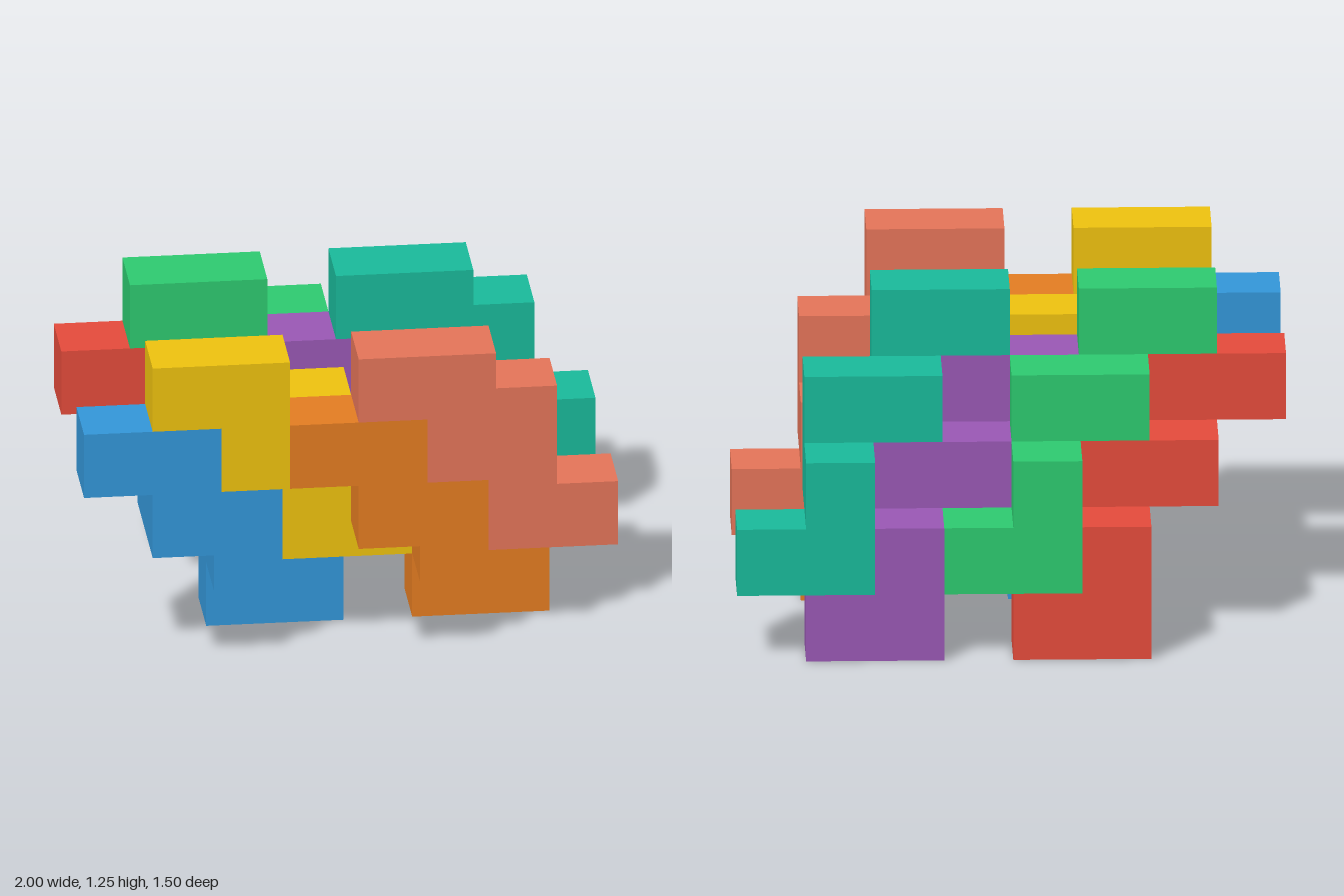
import * as THREE from 'three';

const U = 0.25; // edge of one cube cell

// L-shaped outlines on the cell grid, counter-clockwise
const HOOK = [[0, 0], [1, 0], [1, -1], [2, -1], [2, 1], [0, 1]]; // two cells on top, one below right
const FOOT = [[0, -1], [2, -1], [2, 0], [1, 0], [1, 1], [0, 1]]; // upright with a foot to the right

function lPiece(outline, color, name) {
  const shape = new THREE.Shape(outline.map(([x, y]) => new THREE.Vector2(x * U, y * U)));
  const geometry = new THREE.ExtrudeGeometry(shape, { depth: U, bevelEnabled: false });
  const mesh = new THREE.Mesh(geometry, new THREE.MeshStandardMaterial({ color }));
  mesh.name = name;
  return mesh;
}

// Each stack: three layers of four interlocking L pieces, stepping down and to +x toward its end
const STACKS = [
  { name: 'frontStack', z: 2, dir: -1, colors: { blue: 0x3498db, yellow: 0xf1c40f, orange: 0xe67e22, coral: 0xe7765a } },
  { name: 'backStack', z: -1, dir: -1, colors: { red: 0xe74c3c, green: 0x2ecc71, purple: 0x9b59b6, teal: 0x1abc9c } },
];

// Column and row of each piece's upper left cell in the first layer
const STARTS = [[-4, 3], [-3, 4], [-1, 3], [0, 4]];

export function createModel() {
  const model = new THREE.Group();
  model.name = 'interlockingBlocks';
  for (const stack of STACKS) {
    const group = new THREE.Group();
    group.name = stack.name;
    Object.entries(stack.colors).forEach(([colorName, color], i) => {
      const [x, y] = STARTS[i];
      for (let layer = 0; layer < 3; layer++) {
        // The last layer of each stack uses the other orientation
        const piece = lPiece(layer < 2 ? HOOK : FOOT, color, `${colorName}Piece${layer + 1}`);
        piece.position.set((x + layer) * U, (y - layer) * U, (stack.z + stack.dir * layer) * U);
        group.add(piece);
      }
    });
    model.add(group);
  }
  return model;
}
